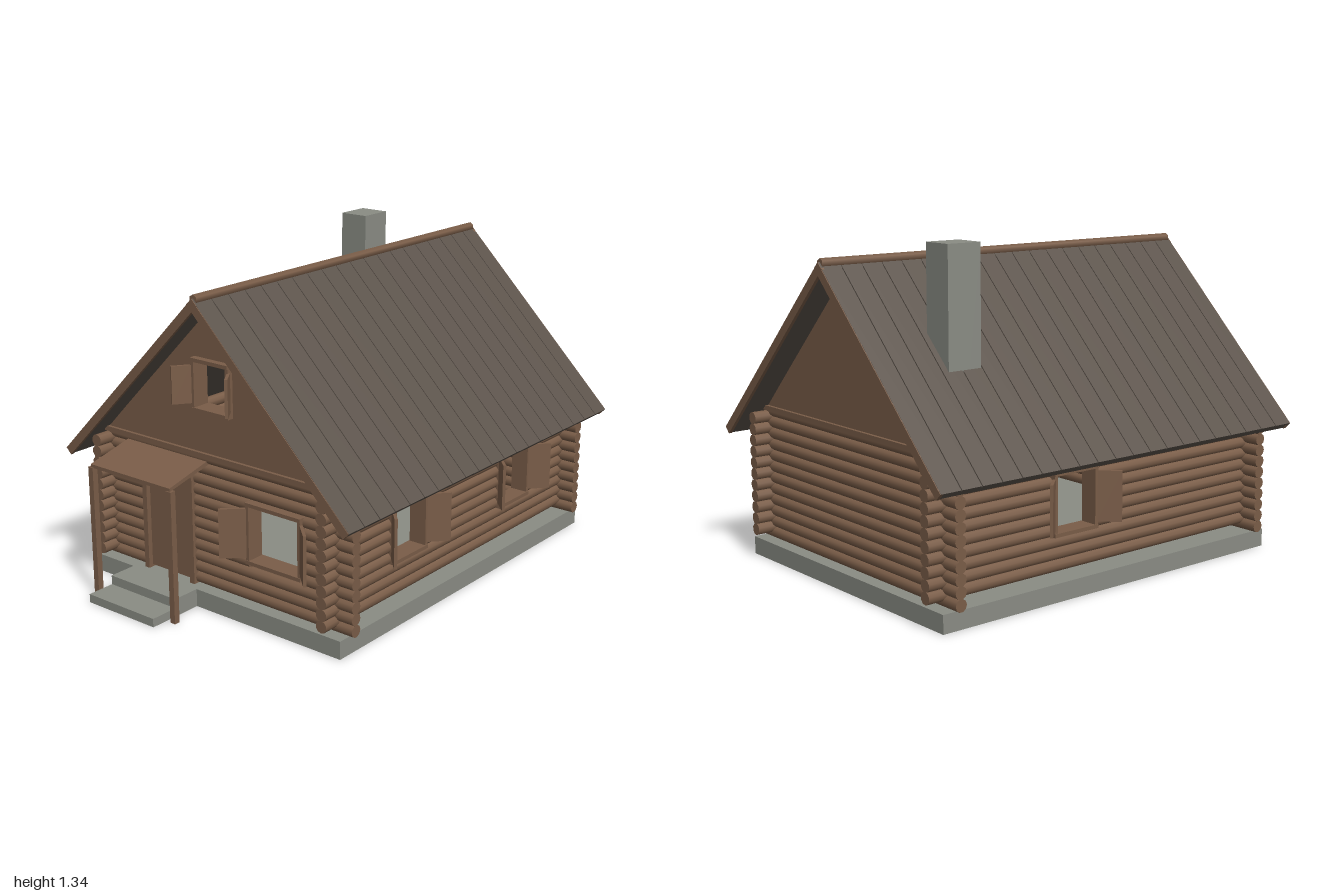
import * as THREE from 'three';

const mat = (name, color) => {
  const m = new THREE.MeshStandardMaterial({ color });
  m.name = name;
  return m;
};

export function createModel() {
  const wood = mat('brown wood', 0x7a5d48);
  const stone = mat('grey stone', 0x8a8c84);
  const roofing = mat('dark roof planks', 0x5c534b);

  const model = new THREE.Group();
  model.name = 'logCabin';

  const group = (name, parent = model) => {
    const g = new THREE.Group();
    g.name = name;
    parent.add(g);
    return g;
  };
  const add = (parent, name, geo, m, x = 0, y = 0, z = 0) => {
    const mesh = new THREE.Mesh(geo, m);
    mesh.name = name;
    mesh.position.set(x, y, z);
    parent.add(mesh);
    return mesh;
  };
  // box given by its limits
  const span = (parent, name, m, x0, x1, y0, y1, z0, z1) =>
    add(parent, name, new THREE.BoxGeometry(x1 - x0, y1 - y0, z1 - z0), m,
      (x0 + x1) / 2, (y0 + y1) / 2, (z0 + z1) / 2);

  // foundation, steps and chimney
  span(model, 'foundation', stone, -0.645, 0.645, 0, 0.073, -0.93, 0.76);
  span(model, 'upperStep', stone, -0.43, -0.075, 0, 0.073, 0.76, 0.88);
  span(model, 'lowerStep', stone, -0.43, -0.075, 0, 0.035, 0.88, 1.0);
  span(model, 'chimney', stone, -0.39, -0.26, 0.07, 1.34, -0.70, -0.55);

  // log walls: each log is cut where it crosses an opening [from, to, bottom, top]
  const R = 0.025, PITCH = 0.0465;
  function logWall(name, alongX, fixed, count, firstY, limits, openings) {
    const wall = group(name);
    for (let i = 0; i < count; i++) {
      const y = firstY + i * PITCH;
      let pieces = [limits(y)];
      for (const [a, b, y0, y1] of openings) {
        if (y < y0 - 0.01 || y > y1 + 0.01) continue;
        pieces = pieces.flatMap(([p, q]) => (p < a && q > b ? [[p, a], [b, q]] : [[p, q]]));
      }
      for (const [p, q] of pieces) {
        const geo = new THREE.CylinderGeometry(R, R, q - p, 10);
        if (alongX) geo.rotateZ(Math.PI / 2);
        else geo.rotateX(Math.PI / 2);
        const mid = (p + q) / 2;
        add(wall, 'log', geo, wood, alongX ? mid : fixed, y, alongX ? fixed : mid);
      }
    }
  }
  const FRONT = 0.70, BACK = -0.87, SIDE = 0.58;
  const underRoof = (y) => {
    const h = Math.min(0.672, 1.215 - y - 0.012);
    return [-h, h];
  };
  const sideRun = () => [-0.96, 0.79];
  const winY = [0.245, 0.49];
  logWall('frontWall', true, FRONT, 12, 0.1, underRoof,
    [[-0.385, -0.11, 0.08, 0.525], [0.17, 0.44, ...winY]]);
  logWall('backWall', true, BACK, 12, 0.1, underRoof, []);
  logWall('rightWall', false, SIDE, 11, 0.123, sideRun,
    [[0.18, 0.40, ...winY], [-0.56, -0.34, ...winY]]);
  logWall('leftWall', false, -SIDE, 11, 0.123, sideRun, [[-0.385, -0.165, ...winY]]);

  // window frame with a pair of half-open shutters, facing local +z
  function windowUnit(name, w, h, shutterW, shutterH, angle, x, y, z, turn) {
    const g = group(name);
    const t = 0.015, d = 0.075;
    for (const s of [-1, 1]) {
      add(g, 'frameSide', new THREE.BoxGeometry(t, h, d), wood, s * (w - t) / 2, 0, 0);
      add(g, 'frameRail', new THREE.BoxGeometry(w, t, d + 0.006), wood, 0, s * (h - t) / 2, 0);
      const hinge = group('shutter', g);
      hinge.position.set(s * w / 2, 0, d / 2 - 0.005);
      hinge.rotation.y = -s * angle;
      add(hinge, 'shutterPanel', new THREE.BoxGeometry(shutterW, shutterH, 0.012), wood,
        s * shutterW / 2, 0, 0);
    }
    g.position.set(x, y, z);
    g.rotation.y = turn;
  }
  const Q = Math.PI / 2;
  windowUnit('frontWindow', 0.27, 0.25, 0.105, 0.2, 0.75, 0.305, 0.367, FRONT, 0);
  windowUnit('rightFrontWindow', 0.22, 0.25, 0.095, 0.2, 0.75, SIDE, 0.367, 0.29, Q);
  windowUnit('rightBackWindow', 0.22, 0.25, 0.095, 0.2, 0.75, SIDE, 0.367, -0.45, Q);
  windowUnit('leftWindow', 0.22, 0.25, 0.095, 0.2, 0.75, -SIDE, 0.367, -0.275, -Q);
  windowUnit('atticWindow', 0.19, 0.21, 0.078, 0.15, 0.95, 0, 0.905, FRONT, 0);

  // door and its frame
  const door = group('door');
  span(door, 'doorPanel', wood, -0.362, -0.145, 0.085, 0.507, 0.695, 0.715);
  span(door, 'doorJamb', wood, -0.385, -0.362, 0.075, 0.525, 0.665, 0.735);
  span(door, 'doorJamb', wood, -0.135, -0.11, 0.075, 0.525, 0.665, 0.735);
  span(door, 'doorHeader', wood, -0.385, -0.11, 0.51, 0.53, 0.665, 0.738);

  // gables above the end walls
  function gable(name, z, hasWindow) {
    const shape = new THREE.Shape([[-0.605, 0.61], [0.605, 0.61], [0, 1.225]]
      .map(([x, y]) => new THREE.Vector2(x, y)));
    if (hasWindow) {
      shape.holes.push(new THREE.Path([[-0.085, 0.81], [-0.085, 1.0], [0.085, 1.0], [0.085, 0.81]]
        .map(([x, y]) => new THREE.Vector2(x, y))));
    }
    const geo = new THREE.ExtrudeGeometry(shape, { depth: 0.024, bevelEnabled: false });
    add(model, name, geo, wood, 0, 0, z - 0.012);
    span(model, name + 'Beam', wood, -0.6, 0.6, 0.612, 0.632, z - 0.025, z + 0.025);
  }
  gable('frontGable', FRONT, true);
  gable('backGable', BACK, false);

  // roof: plank-covered slopes with barge boards at both ends
  const RIDGE = 1.265, LEN = 1.032, Z0 = -1.0, Z1 = 0.82, PLANKS = 20;
  for (const s of [1, -1]) {
    const slope = group(s > 0 ? 'rightRoof' : 'leftRoof');
    slope.position.y = RIDGE;
    slope.rotation.z = s > 0 ? -Math.PI / 4 : -3 * Math.PI / 4;
    add(slope, 'roofDeck', new THREE.BoxGeometry(LEN - 0.004, 0.029, Z1 - Z0 - 0.02), roofing,
      LEN / 2, -s * 0.0195, (Z0 + Z1) / 2);
    const step = (Z1 - Z0 - 0.002) / PLANKS;
    for (let i = 0; i < PLANKS; i++) {
      add(slope, 'roofPlank', new THREE.BoxGeometry(LEN, 0.01, step - 0.004), roofing,
        LEN / 2, -s * 0.005, Z0 + 0.001 + (i + 0.5) * step);
    }
    for (const z of [Z0 + 0.007, Z1 - 0.007]) {
      add(slope, 'bargeBoard', new THREE.BoxGeometry(LEN, 0.035, 0.014), wood,
        LEN / 2, -s * 0.0185, z);
    }
  }
  const ridgeGeo = new THREE.CylinderGeometry(0.019, 0.019, 1.8, 6).rotateX(Q);
  add(model, 'ridgePole', ridgeGeo, wood, 0, 1.26, -0.09);

  // porch: two posts, a front beam and a sloping roof
  const porch = group('porch');
  for (const x of [-0.466, -0.041]) span(porch, 'porchPost', wood, x - 0.0125, x + 0.0125, 0, 0.54, 0.905, 0.93);
  const porchRoof = new THREE.Shape([[0.70, 0.59], [0.925, 0.538], [0.925, 0.552], [0.70, 0.608]]
    .map(([z, y]) => new THREE.Vector2(-z, y)));
  const porchGeo = new THREE.ExtrudeGeometry(porchRoof, { depth: 0.43, bevelEnabled: false }).rotateY(Q);
  add(porch, 'porchRoof', porchGeo, wood, -0.4685, 0, 0);

  // small chair inside, seen through the windows
  const chair = group('chair');
  for (const x of [0.275, 0.345]) {
    for (const z of [0.26, 0.33]) span(chair, 'chairLeg', wood, x - 0.006, x + 0.006, 0.07, 0.165, z - 0.006, z + 0.006);
  }
  span(chair, 'chairSeat', wood, 0.268, 0.352, 0.16, 0.172, 0.253, 0.337);
  span(chair, 'chairBack', wood, 0.268, 0.352, 0.172, 0.285, 0.325, 0.337);

  return model;
}
